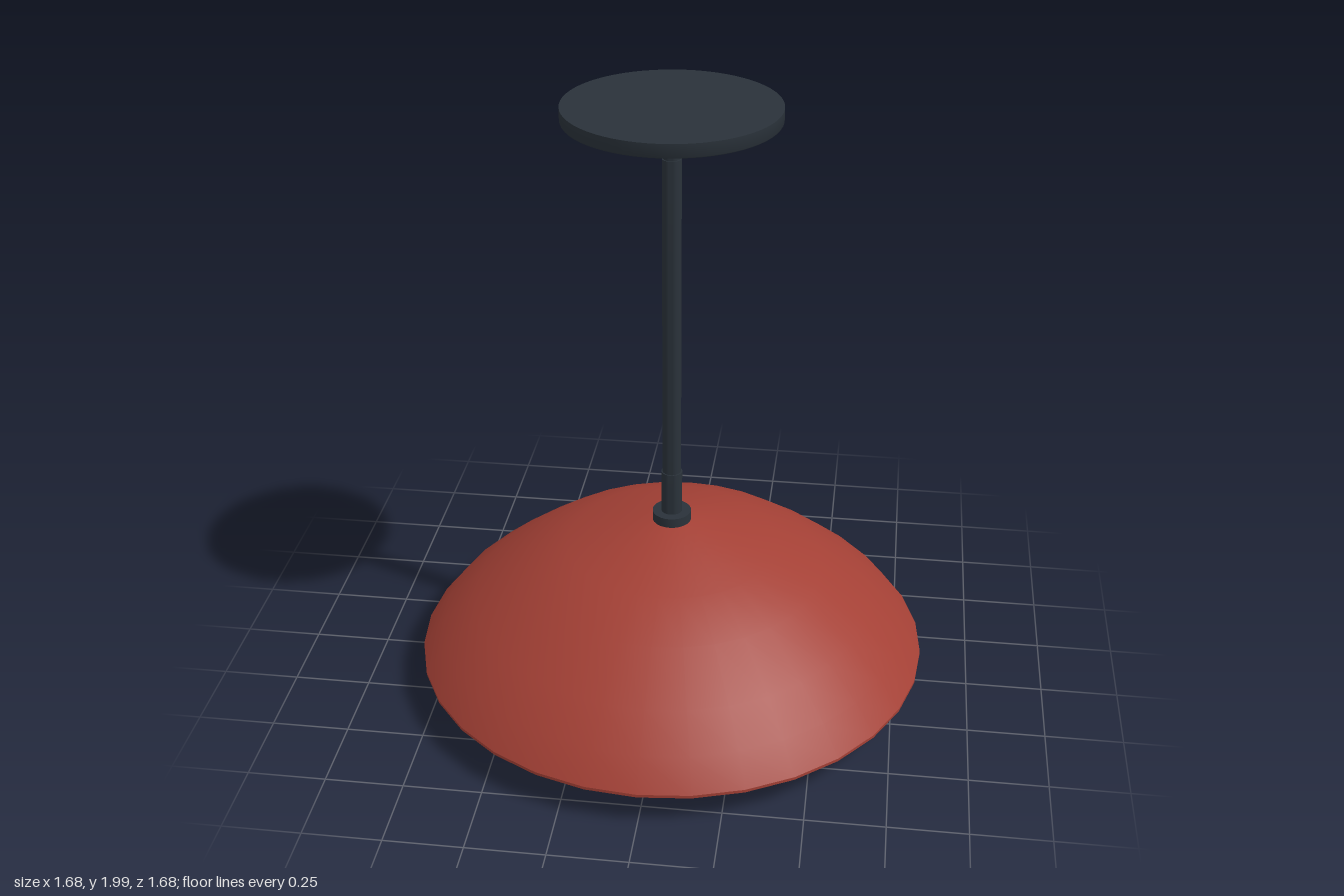
import * as THREE from 'three';
import { toCreasedNormals } from 'three/addons/utils/BufferGeometryUtils.js';

const material = (color) => new THREE.MeshStandardMaterial({ color });

// Turned part: profile of [radius, height] pairs, listed from the bottom up on the outside
function turned(name, profile, mat, sides = 32, crease = 0.6) {
  const points = profile.map(([r, y]) => new THREE.Vector2(r, y));
  const geometry = toCreasedNormals(new THREE.LatheGeometry(points, sides), crease);
  const mesh = new THREE.Mesh(geometry, mat);
  mesh.name = name;
  return mesh;
}

// Solid cylinder between two heights
function rod(name, radius, y0, y1, mat, sides = 24) {
  return turned(name, [[0, y0], [radius, y0], [radius, y1], [0, y1]], mat, sides);
}

export function createModel() {
  const lamp = new THREE.Group();
  lamp.name = 'pendantLamp';
  const dark = material(0x2a323a);
  const red = material(0xa34035);
  const glass = material(0x8fd0d8);

  // Ceiling plate with a slightly bevelled underside
  lamp.add(turned('ceilingPlate',
    [[0, 1.95], [0.24, 1.95], [0.328, 1.957], [0.33, 1.96], [0.33, 2], [0, 2]], dark, 64));

  // Hanging stem and its collars
  lamp.add(rod('topCollar', 0.038, 1.933, 1.955, dark));
  lamp.add(rod('upperStem', 0.026, 1.82, 1.94, dark));
  lamp.add(rod('stem', 0.03, 0.7, 1.835, dark));
  lamp.add(rod('lowerSleeve', 0.034, 0.6, 0.765, dark));
  lamp.add(rod('shadeCollar', 0.063, 0.583, 0.618, dark));

  // Domed shade: outer skin upwards, then inner skin back down to the rim
  lamp.add(turned('shade', [
    [0.815, 0.115], [0.838, 0.115], [0.838, 0.125], [0.767, 0.215], [0.66, 0.307],
    [0.5, 0.425], [0.346, 0.502], [0.106, 0.578], [0.04, 0.59],
    [0.04, 0.572], [0.1, 0.56], [0.338, 0.484], [0.488, 0.408],
    [0.645, 0.291], [0.75, 0.2], [0.815, 0.115],
  ], red, 32));

  // Bulb holder with a flared lower ring
  lamp.add(turned('socket', [
    [0, 0.37], [0.055, 0.36], [0.075, 0.36], [0.075, 0.4], [0.064, 0.41],
    [0.064, 0.54], [0.05, 0.58], [0, 0.58],
  ], dark, 24));

  // Bulb: round globe drawn in to a narrow neck
  const profile = [];
  for (let i = 0; i <= 16; i++) {
    const a = -Math.PI / 2 + (i / 16) * 2.3;
    profile.push([Math.max(0, 0.151 * Math.cos(a)), 0.157 + 0.151 * Math.sin(a)]);
  }
  profile.push([0.087, 0.29], [0.068, 0.315], [0.055, 0.345], [0.05, 0.385]);
  lamp.add(turned('bulb', profile, glass, 32, 1));

  return lamp;
}
